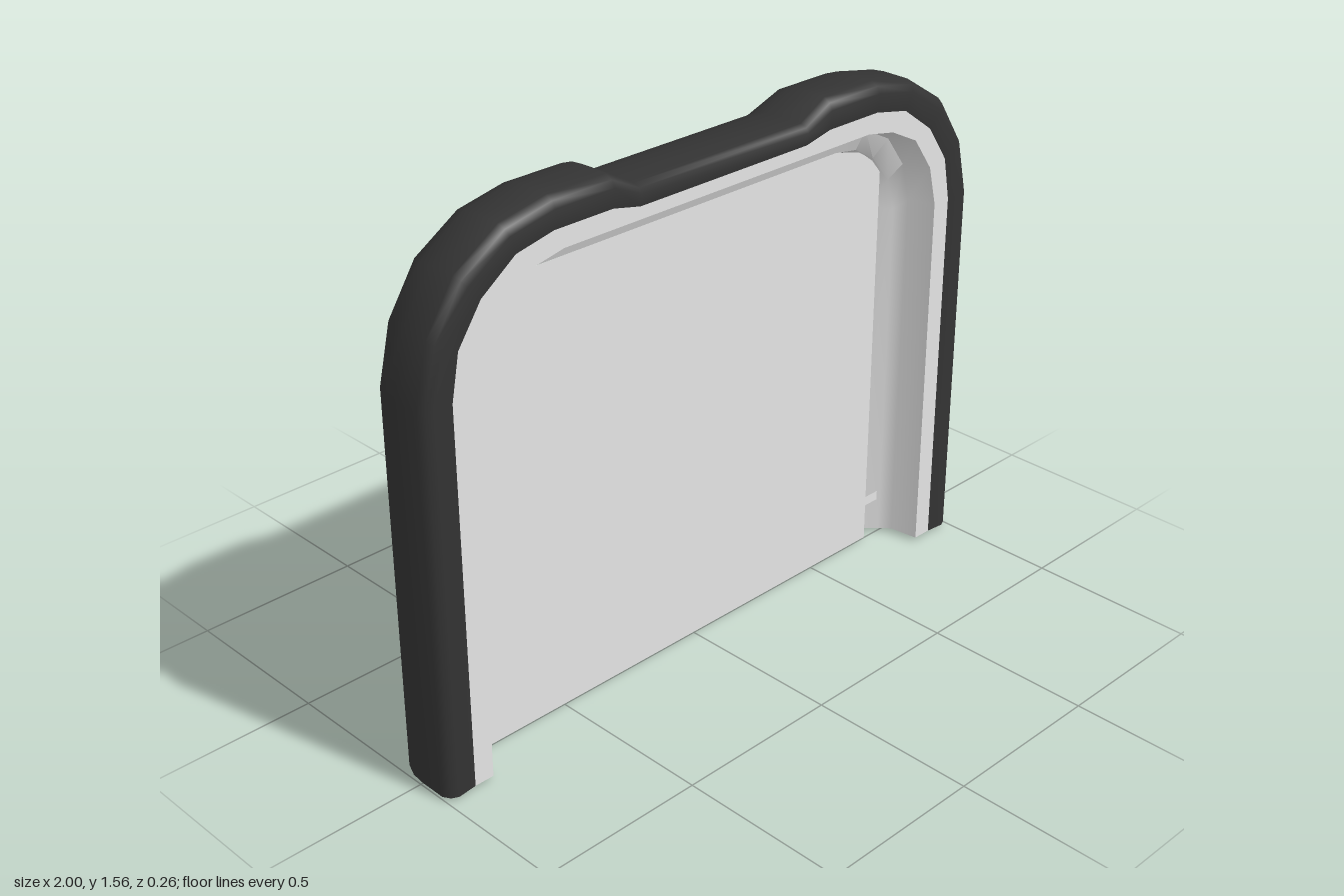
import * as THREE from 'three';
import { toCreasedNormals } from 'three/addons/utils/BufferGeometryUtils.js';

// Half-arch guide curves, from the foot of a leg to the dip in the top bar
const HALF = {
  outer: [[1, 0.01], [1, 1.13], [0.96, 1.30], [0.87, 1.44], [0.73, 1.53], [0.58, 1.56], [0.39, 1.56], [0.30, 1.51]],
  lip: [[0.91, 0.01], [0.91, 1.13], [0.885, 1.26], [0.81, 1.37], [0.70, 1.45], [0.58, 1.475], [0.39, 1.475], [0.30, 1.455]],
  wall: [[0.85, 0.01], [0.85, 1.13], [0.82, 1.25], [0.75, 1.35], [0.65, 1.40], [0.55, 1.42], [0.39, 1.42], [0.30, 1.42]],
  step: [[0.838, 0.01], [0.838, 1.12], [0.807, 1.24], [0.738, 1.335], [0.64, 1.385], [0.545, 1.40], [0.39, 1.40], [0.30, 1.40]],
  seat: [[0.81, 0.01], [0.81, 1.09], [0.78, 1.19], [0.71, 1.275], [0.635, 1.32], [0.55, 1.333], [0.39, 1.333], [0.30, 1.333]],
  inner: [[0.75, 0.01], [0.75, 1.10], [0.735, 1.20], [0.69, 1.265], [0.63, 1.305], [0.55, 1.32], [0.39, 1.32], [0.30, 1.32]],
};

// Mirror each half into a full arch running from +x over the top to -x
const ARCH = {};
for (const [key, pts] of Object.entries(HALF)) {
  ARCH[key] = [...pts, ...pts.map(([x, y]) => [-x, y]).reverse()];
}

// Sweep a section along the arch; each section point is [curveA, curveB, blend, z]
function sweep(section, crease) {
  const pos = [], idx = [];
  const rows = ARCH.outer.length, cols = section.length;
  for (let i = 0; i < rows; i++) {
    for (const [a, b, t, z] of section) {
      const p = ARCH[a][i], q = ARCH[b][i];
      pos.push(p[0] + (q[0] - p[0]) * t, p[1] + (q[1] - p[1]) * t, z);
    }
  }
  for (let i = 0; i < rows - 1; i++) {
    for (let j = 0; j < cols - 1; j++) {
      const a = i * cols + j, b = a + 1, c = a + cols, d = c + 1;
      idx.push(a, b, c, b, d, c);
    }
  }
  const geo = new THREE.BufferGeometry();
  geo.setAttribute('position', new THREE.Float32BufferAttribute(pos, 3));
  geo.setIndex(idx);
  return toCreasedNormals(geo, crease);
}

export function createModel() {
  const black = new THREE.MeshStandardMaterial({ color: 0x333333, side: THREE.DoubleSide });
  black.name = 'charcoal';
  const grey = new THREE.MeshStandardMaterial({ color: 0xe4e4e4, side: THREE.DoubleSide });
  grey.name = 'light grey';

  const model = new THREE.Group();
  model.name = 'archPanel';
  const frame = new THREE.Group();
  frame.name = 'frame';
  model.add(frame);
  const add = (parent, name, geo, mat) => {
    const mesh = new THREE.Mesh(geo, mat);
    mesh.name = name;
    parent.add(mesh);
    return mesh;
  };

  // Padded outer shell, from the inner edge round the back to the front rim
  add(frame, 'outerShell', sweep([
    ['inner', 'wall', 0, -0.055],
    ['inner', 'wall', 0.02, -0.09],
    ['inner', 'wall', 0.1, -0.114],
    ['inner', 'wall', 0.35, -0.127],
    ['outer', 'wall', 0.87, -0.127],
    ['outer', 'wall', 0.6, -0.121],
    ['outer', 'wall', 0.36, -0.104],
    ['outer', 'wall', 0.14, -0.07],
    ['outer', 'wall', 0.03, -0.03],
    ['outer', 'wall', 0, 0.01],
    ['outer', 'wall', 0, 0.095],
    ['outer', 'lip', 0.13, 0.116],
    ['outer', 'lip', 0.35, 0.126],
    ['outer', 'lip', 1, 0.12],
  ], 1.2), black);

  // Flat front lip
  add(frame, 'frontLip', sweep([
    ['lip', 'lip', 0, 0.12],
    ['wall', 'wall', 0, 0.12],
  ], 0.6), grey);

  // Inner wall behind the lip, with a ledge that holds the panel
  add(frame, 'innerLiner', sweep([
    ['wall', 'wall', 0, 0.12],
    ['step', 'step', 0, 0.03],
    ['seat', 'seat', 0, 0],
    ['inner', 'inner', 0, -0.055],
  ], 0.8), grey);

  // The frame is turned slightly against the panel
  frame.rotation.y = -0.005;

  // Thin centre panel with a small tab on each side
  const shape = new THREE.Shape([
    [-0.815, 0], [0.75, 0], [0.75, 0.115], [0.81, 0.115], [0.81, 0.145], [0.75, 0.145],
    [0.75, 1.22], [0.735, 1.25], [0.66, 1.305], [0.55, 1.333],
    [-0.57, 1.333], [-0.67, 1.31], [-0.75, 1.25], [-0.8, 1.17], [-0.815, 1.09],
    [-0.815, 0.145], [-0.825, 0.145], [-0.825, 0.115], [-0.815, 0.115],
  ].map(([x, y]) => new THREE.Vector2(x, y)));
  add(model, 'centrePanel', new THREE.ShapeGeometry(shape), grey).position.z = -0.002;

  return model;
}
